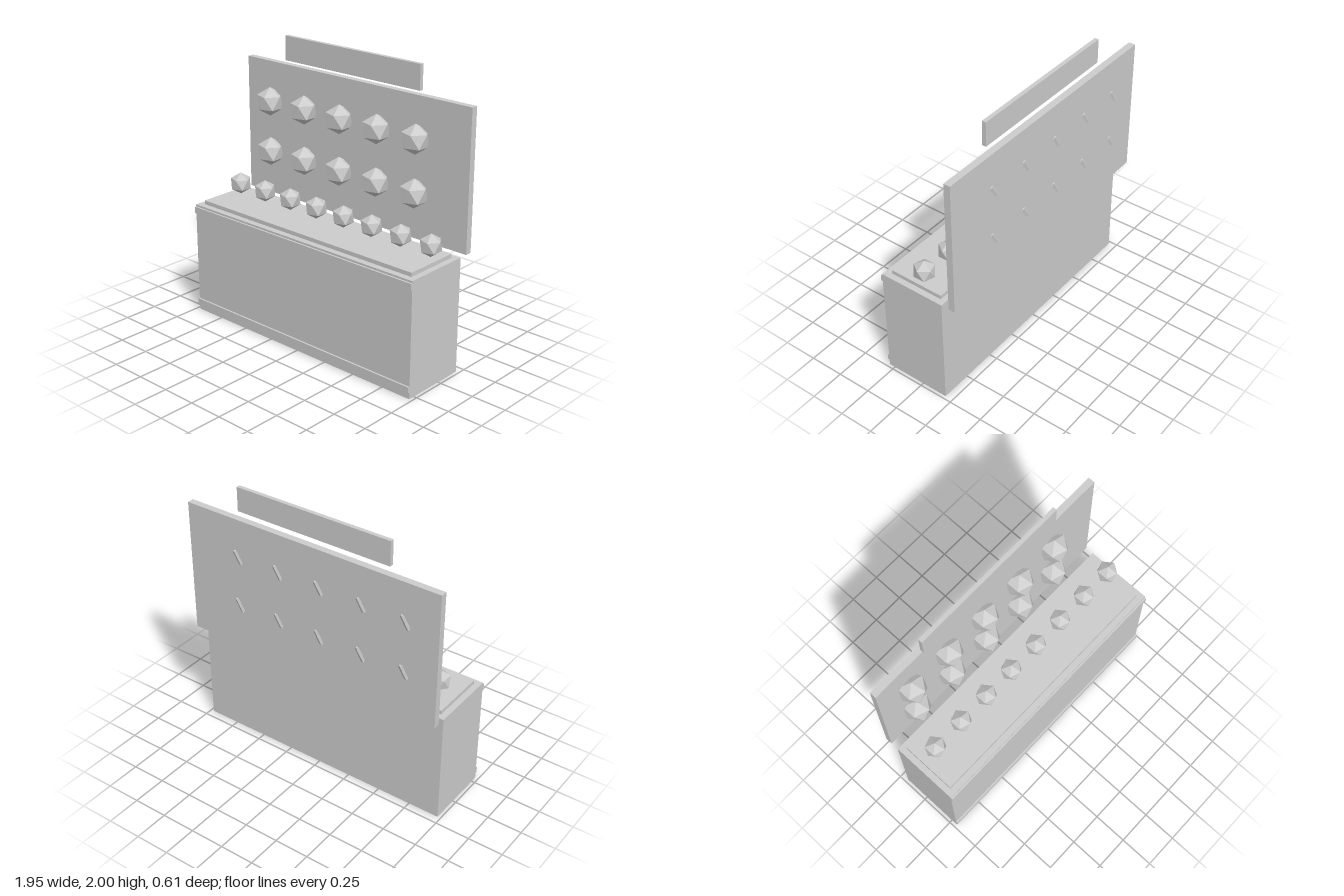
import * as THREE from 'three';

export function createModel() {
  const group = new THREE.Group();
  const grey = new THREE.MeshStandardMaterial({ color: 0xcccccc });
  grey.name = 'light grey';

  const add = (name, geometry) => {
    const mesh = new THREE.Mesh(geometry, grey);
    mesh.name = name;
    group.add(mesh);
    return mesh;
  };

  // Box given by its half width and its y and z limits
  const slab = (name, halfX, y0, y1, z0, z1) => {
    const mesh = add(name, new THREE.BoxGeometry(halfX * 2, y1 - y0, z1 - z0));
    mesh.position.set(0, (y0 + y1) / 2, (z0 + z1) / 2);
  };

  // Counter with front trims and a raised top
  slab('counterBody', 0.977, 0, 0.814, -0.193, 0.296);
  slab('upperTrim', 0.977, 0.753, 0.8, 0.29, 0.309);
  slab('lowerTrim', 0.977, 0.045, 0.088, 0.29, 0.309);
  slab('counterTop', 0.934, 0.814, 0.842, -0.153, 0.251);

  // Back panel and the sign floating above it
  slab('backPanel', 0.977, 0.814, 1.79, -0.299, -0.251);
  slab('signBoard', 0.587, 1.827, 2, -0.2565, -0.2275);

  // Icosahedron standing on one corner: two poles and two staggered rings
  const points = [0, 1, 0];
  for (let i = 0; i < 5; i++) {
    const a = (i * Math.PI * 2) / 5;
    points.push(0.8944 * Math.cos(a), 0.4472, 0.8944 * Math.sin(a));
  }
  for (let i = 0; i < 5; i++) {
    const a = ((i + 0.5) * Math.PI * 2) / 5;
    points.push(0.8944 * Math.cos(a), -0.4472, 0.8944 * Math.sin(a));
  }
  points.push(0, -1, 0);
  const faces = [];
  for (let i = 0; i < 5; i++) {
    const u = 1 + i, v = 1 + ((i + 1) % 5);
    const p = 6 + i, q = 6 + ((i + 1) % 5);
    faces.push(0, v, u, u, v, p, v, q, p, 11, p, q);
  }
  const ball = (name, radius, x, y, z) => {
    const mesh = add(name, new THREE.PolyhedronGeometry(points, faces, radius, 0));
    mesh.position.set(x, y, z);
  };

  // Two rows of prizes set into the panel
  for (const y of [1.14, 1.508]) {
    for (let i = 0; i < 5; i++) ball('panelBall', 0.104, -0.733 + i * 0.3255, y, -0.2175);
  }

  // Row of smaller balls above the counter
  for (let i = 0; i < 8; i++) ball('counterBall', 0.079, -0.815 + i * 0.2438, 0.938, 0.009);

  return group;
}
